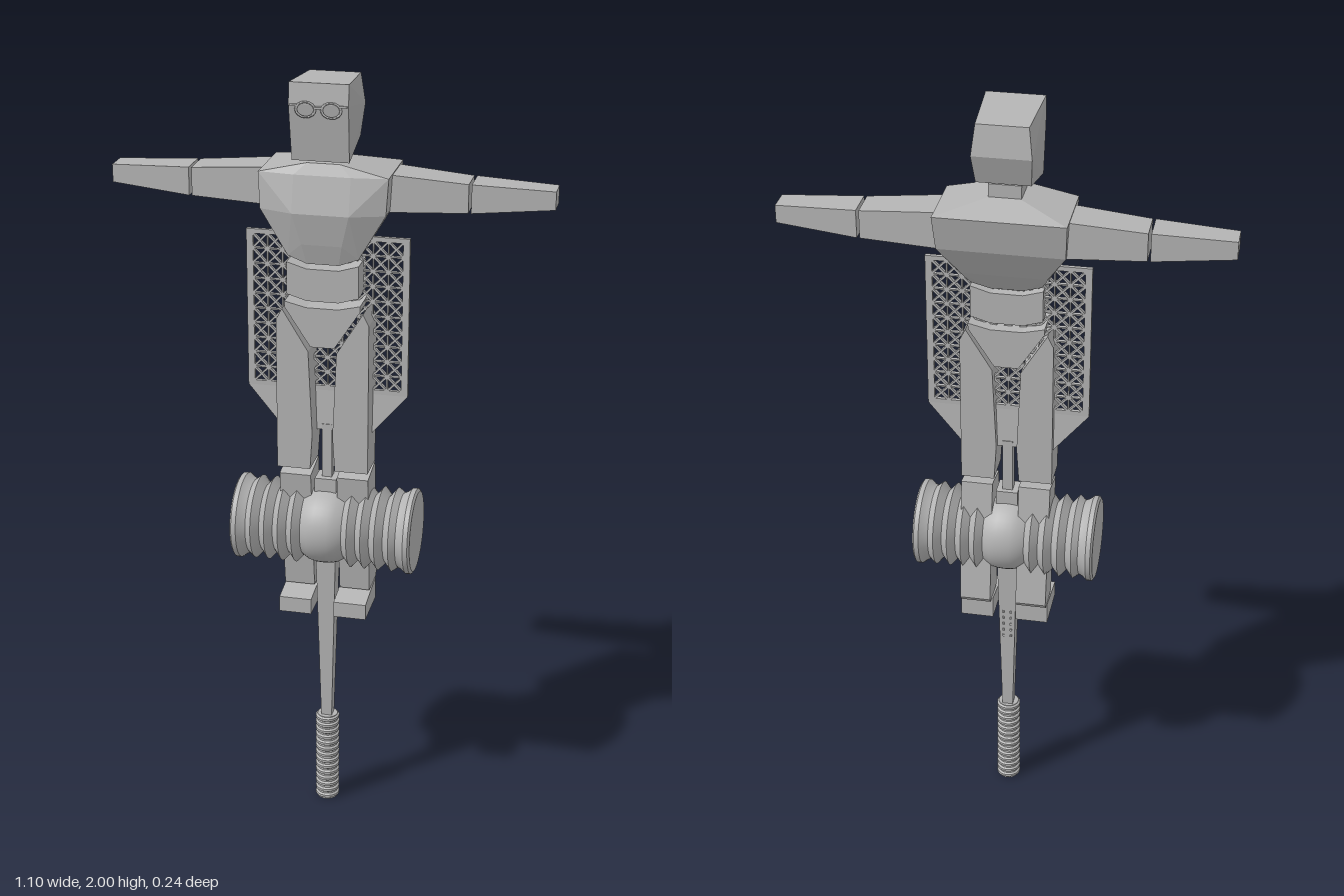
import * as THREE from 'three';
import { toCreasedNormals, mergeGeometries } from 'three/addons/utils/BufferGeometryUtils.js';
import { ConvexGeometry } from 'three/addons/geometries/ConvexGeometry.js';

const grey = new THREE.MeshStandardMaterial({ color: 0xb4b4b4 });
grey.name = 'plain grey';

// Convex solid from rings given as [y, list of [x, z]]
const hull = (rings) => new ConvexGeometry(
  rings.flatMap(([y, pts]) => pts.map(([x, z]) => new THREE.Vector3(x, y, z))));
const rect = (x0, x1, z0, z1) => [[x0, z0], [x1, z0], [x1, z1], [x0, z1]];
// Flat front outline, given depth from z0 to z1
function slab(points, z0, z1, holes = []) {
  const shape = new THREE.Shape(points.map((p) => new THREE.Vector2(...p)));
  for (const h of holes) shape.holes.push(new THREE.Path(h.map((p) => new THREE.Vector2(...p))));
  return new THREE.ExtrudeGeometry(shape, { depth: z1 - z0, bevelEnabled: false }).translate(0, 0, z0);
}
const block = (w, h, d, x, y, z) => new THREE.BoxGeometry(w, h, d).translate(x, y, z);
const lathe = (profile, n) => toCreasedNormals(
  new THREE.LatheGeometry(profile.map((p) => new THREE.Vector2(...p)), n), 0.5);

export function createModel() {
  const model = new THREE.Group();
  const add = (name, geometry) => {
    const mesh = new THREE.Mesh(geometry, grey);
    mesh.name = name;
    model.add(mesh);
    return mesh;
  };

  // Head: side outline as [z, y, half width]
  const headOutline = [[0.1, 2, 0.072], [-0.075, 1.99, 0.063], [-0.087, 1.915, 0.072],
    [-0.06, 1.84, 0.066], [0.085, 1.81, 0.07], [0.106, 1.95, 0.072]];
  add('head', hull(headOutline.map(([z, y, w]) => [y, [[-w, z], [w, z]]])));
  add('neck', block(0.08, 0.05, 0.074, 0, 1.805, -0.005));

  // Glasses
  const frames = [-1, 1].map((s) => new THREE.TorusGeometry(0.021, 0.003, 4, 16)
    .scale(1.1, 0.85, 1).translate(s * 0.031, 1.938, 0.107));
  frames.push(block(0.018, 0.005, 0.005, 0, 1.943, 0.108));
  for (const s of [-1, 1]) frames.push(block(0.018, 0.005, 0.005, s * 0.06, 1.948, 0.107));
  add('glasses', mergeGeometries(frames));

  // Chest
  const chestRing = (w, zb, zf, c, zc) => [[-w, zb], [w, zb], [w, zf], [c, zc], [-c, zc], [-w, zf]];
  add('chest', hull([
    [1.797, rect(-0.04, 0.04, -0.045, 0.055)],
    [1.77, chestRing(0.16, -0.12, 0.06, 0.07, 0.07)],
    [1.68, chestRing(0.155, -0.1, 0.065, 0.07, 0.093)],
    [1.6, chestRing(0.105, -0.055, 0.06, 0.05, 0.078)],
    [1.565, rect(-0.088, 0.088, -0.03, 0.06)],
    [1.548, rect(-0.04, 0.04, -0.022, 0.064)],
  ]));

  // Belly and pelvis
  add('belly', slab([[-0.09, 1.55], [-0.04, 1.535], [0.04, 1.535], [0.09, 1.55],
    [0.09, 1.468], [0.04, 1.453], [-0.04, 1.453], [-0.09, 1.468]].reverse(), -0.022, 0.066));
  add('pelvis', slab([[-0.095, 1.45], [-0.04, 1.437], [0.04, 1.437], [0.095, 1.45],
    [0.095, 1.435], [0.03, 1.335], [-0.03, 1.335], [-0.095, 1.435]].reverse(), -0.027, 0.07));

  for (const s of [-1, 1]) {
    const side = s > 0 ? 'left' : 'right';
    // Arm: sections lie across x
    const armPart = (x0, a, x1, b) => new ConvexGeometry([[x0, a], [x1, b]].flatMap(
      ([x, [y0, y1, z0, z1]]) => rect(y0, y1, z0, z1).map(([y, z]) => new THREE.Vector3(s * x, y, z))));
    add(side + 'UpperArm', armPart(0.15, [1.675, 1.768, -0.088, 0.015], 0.343, [1.682, 1.753, -0.08, 0.004]));
    add(side + 'Forearm', armPart(0.35, [1.682, 1.753, -0.08, 0.004], 0.55, [1.7, 1.745, -0.07, -0.008]));

    // Leg
    const thigh = [[0.102, 1.43], [0.117, 1.4], [0.117, 1.005], [0.032, 1.005], [0.026, 1.1], [0.036, 1.322]]
      .map(([x, y]) => [s * x, y]);
    add(side + 'Thigh', slab(s > 0 ? thigh.reverse() : thigh, -0.024, 0.07));
    add(side + 'Shin', hull([
      [0.995, rect(s * 0.115, s * 0.034, -0.036, -0.03)],
      [0.98, rect(s * 0.115, s * 0.034, -0.036, 0.055)],
      [0.66, rect(s * 0.113, s * 0.034, -0.078, -0.07)],
      [0.648, rect(s * 0.113, s * 0.034, -0.07, 0.015)],
    ]));
    add(side + 'Foot', hull([
      [0.59, rect(s * 0.115, s * 0.03, -0.056, 0.072)],
      [0.632, rect(s * 0.115, s * 0.03, 0.07, 0.072)],
      [0.65, rect(s * 0.115, s * 0.03, -0.056, -0.05)],
    ]));
  }

  // Lattice paddle: square cells, each pierced by four triangles
  const holes = [];
  const cols = 10, rows = 10, cw = 0.038, ch = 0.039;
  for (let i = 0; i < cols; i++) for (let j = 0; j < rows; j++) {
    const x = -0.19 + i * cw, y = 1.21 + j * ch;
    const corners = [[x, y], [x + cw, y], [x + cw, y + ch], [x, y + ch]];
    corners.forEach((a, k) => {
      const tri = [a, corners[(k + 1) % 4], [x + cw / 2, y + ch / 2]];
      const cx = (tri[0][0] + tri[1][0] + tri[2][0]) / 3, cy = (tri[0][1] + tri[1][1] + tri[2][1]) / 3;
      holes.push(tri.map(([px, py]) => [cx + (px - cx) * 0.72, cy + (py - cy) * 0.72]).reverse());
    });
  }
  add('latticePanel', slab([[-0.205, 1.2], [0.205, 1.2], [0.205, 1.61], [-0.205, 1.61]], 0.001, 0.011, holes));
  add('panelBase', hull([
    [1.2, rect(-0.205, 0.205, 0.001, 0.011)],
    [1.095, rect(-0.115, 0.115, -0.006, 0.018)],
  ]));

  // Shaft with a collar, pegs and ribbed grip
  add('upperShaft', block(0.026, 0.2, 0.026, 0, 1.01, 0.006));
  add('collar', block(0.056, 0.05, 0.056, 0, 0.94, 0.008));
  add('lowerShaft', hull([
    [0.74, rect(-0.026, 0.026, -0.018, 0.034)],
    [0.25, rect(-0.014, 0.014, -0.007, 0.024)],
  ]));
  const pegs = [];
  for (let i = 0; i < 5; i++) for (const s of [-1, 1])
    pegs.push(block(0.005, 0.006, 0.006, s * 0.01, 0.5 + i * 0.02, -0.013 - i * 0.0005));
  add('shaftPegs', mergeGeometries(pegs));
  const grip = [[0, 0], [0.028, 0]];
  const ribs = 14, step = 0.26 / ribs;
  for (let i = 0; i < ribs; i++) {
    const y = i * step;
    grip.push([0.027, y + step * 0.15], [0.032, y + step * 0.35], [0.032, y + step * 0.7], [0.027, y + step * 0.9]);
  }
  grip.push([0.027, 0.26], [0, 0.26]);
  add('ribbedGrip', lathe(grip, 20)).position.z = 0.01;

  // Bellows drum: half profile as [radius, distance], mirrored about the middle
  const half = [[0, 0.235], [0.104, 0.235], [0.111, 0.23], [0.111, 0.218], [0.102, 0.207], [0.097, 0.196]];
  for (let i = 0; i < 4; i++) half.push([0.109, 0.18 - i * 0.036], [0.088, 0.162 - i * 0.036]);
  half.push([0.099, 0.036], [0.103, 0.018]);
  const drum = [...half.map(([r, d]) => [r, -d]), [0.104, 0], ...half.slice().reverse()];
  add('bellowsDrum', lathe(drum, 40).rotateZ(-Math.PI / 2)).position.set(0, 0.83, 0.01);

  return model;
}
